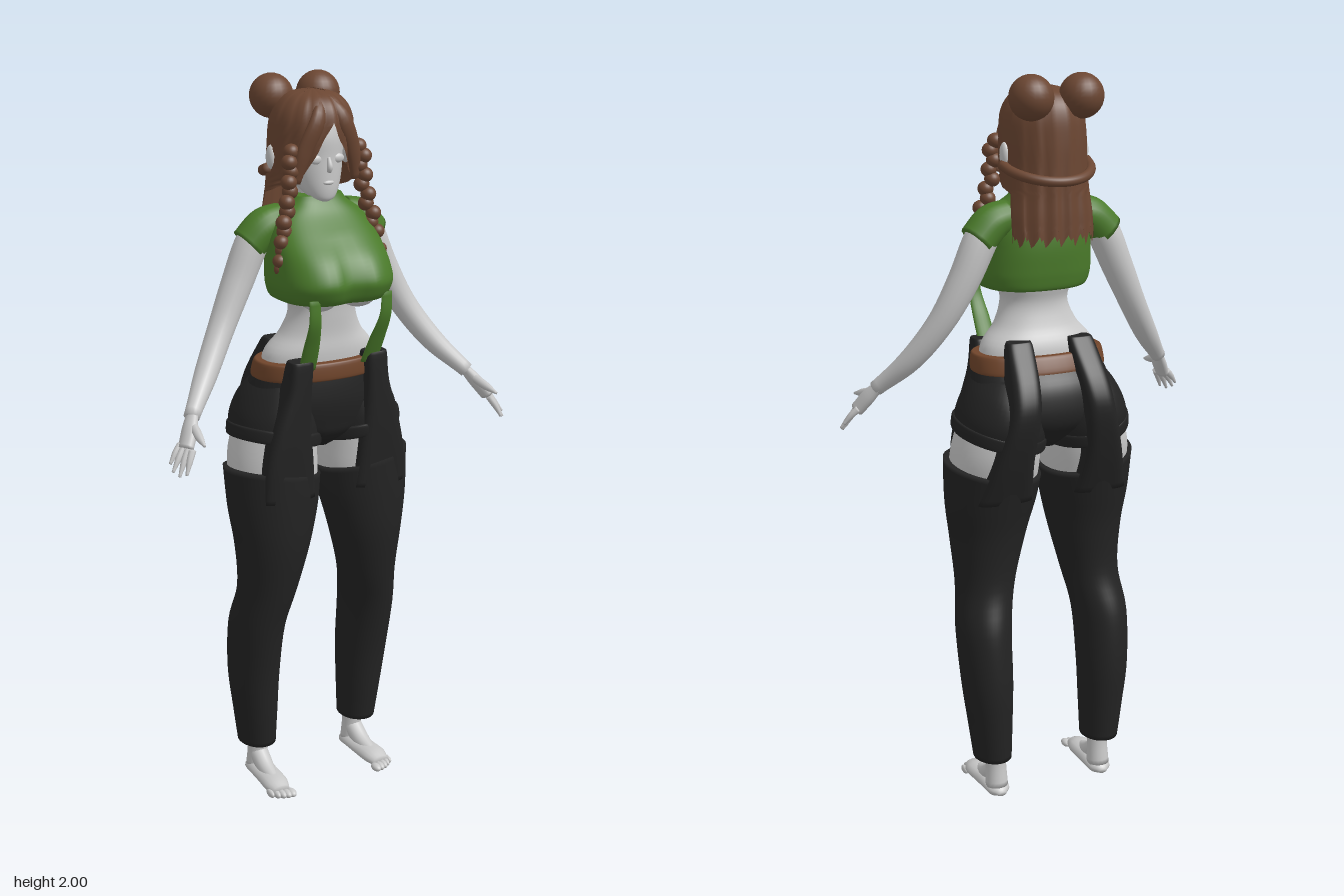
import * as THREE from 'three';
import { mergeVertices } from 'three/addons/utils/BufferGeometryUtils.js';

const paint = (name, color, side = THREE.FrontSide) => {
  const m = new THREE.MeshStandardMaterial({ color, side });
  m.name = name;
  return m;
};

// Skin a list of vertex rings; optional caps close both ends
function grid(rows, capped = true) {
  const n = rows[0].length, pos = [], idx = [];
  rows.forEach(r => r.forEach(p => pos.push(p.x, p.y, p.z)));
  for (let i = 0; i < rows.length - 1; i++) {
    for (let j = 0; j < n - 1; j++) {
      const a = i * n + j, d = a + n;
      idx.push(a, a + 1, d + 1, a, d + 1, d);
    }
  }
  if (capped) {
    [0, rows.length - 1].forEach((r, end) => {
      const c = new THREE.Vector3();
      rows[r].slice(1).forEach(p => c.addScaledVector(p, 1 / (n - 1)));
      const k = pos.length / 3;
      pos.push(c.x, c.y, c.z);
      for (let j = 0; j < n - 1; j++) {
        const a = r * n + j;
        if (end) idx.push(k, a, a + 1); else idx.push(k, a + 1, a);
      }
    });
  }
  let g = new THREE.BufferGeometry();
  g.setAttribute('position', new THREE.Float32BufferAttribute(pos, 3));
  g.setIndex(idx);
  g = mergeVertices(g, 1e-5);
  g.computeVertexNormals();
  return g;
}

// Smooth interpolation through a list of number rows
function sample(list, t) {
  const f = t * (list.length - 1), i = Math.min(Math.floor(f), list.length - 2), u = f - i;
  const at = k => list[Math.max(0, Math.min(list.length - 1, k))];
  return list[i].map((_, c) => {
    const [a, b, d, e] = [at(i - 1)[c], at(i)[c], at(i + 1)[c], at(i + 2)[c]];
    return b + 0.5 * u * (d - a + u * (2 * a - 5 * b + 4 * d - e + u * (3 * (b - d) + e - a)));
  });
}

// Upright loft; sections are [y, centreX, radiusX, frontZ, backZ], bottom to top
function tower(sections, { exp = 2, tilt = null, gap = null, shape = null } = {}) {
  const seg = 48, n = (sections.length - 1) * 5, rows = [];
  const pw = v => Math.sign(v) * Math.abs(v) ** (2 / exp);
  for (let i = 0; i <= n; i++) {
    const [y, cx, rx, zf, zb] = sample(sections, i / n), row = [];
    const g = gap ? gap(y) : 0;
    for (let j = 0; j <= seg; j++) {
      const a = g + (j / seg) * (Math.PI * 2 - 2 * g);
      const dx = rx * pw(Math.sin(a)), dz = (zf - zb) / 2 * pw(Math.cos(a));
      const p = new THREE.Vector3(cx + dx, y, (zf + zb) / 2 + dz);
      if (tilt) p.y += tilt(dx, dz, y);
      if (shape) shape(p, a, j);
      row.push(p);
    }
    rows.push(row);
  }
  return grid(rows, !gap);
}

// Tapered tube; points are [x, y, z, radius], flat scales the cross-section
function limb(points, flat = [1, 1, 1], seg = 16) {
  const curve = new THREE.CatmullRomCurve3(points.map(p => new THREE.Vector3(...p.slice(0, 3))));
  const n = (points.length - 1) * 6, f = curve.computeFrenetFrames(n), rows = [];
  const s = new THREE.Vector3(...flat);
  for (let i = 0; i <= n; i++) {
    const t = curve.getUtoTmapping(i / n), c = curve.getPoint(t), r = sample(points, t)[3];
    rows.push(Array.from({ length: seg + 1 }, (_, j) => {
      const a = (j / seg) * Math.PI * 2;
      return new THREE.Vector3().addScaledVector(f.normals[i], Math.cos(a) * r)
        .addScaledVector(f.binormals[i], Math.sin(a) * r).multiply(s).add(c);
    }));
  }
  return grid(rows);
}

function ball(x, y, z, rx, ry = rx, rz = rx) {
  return new THREE.SphereGeometry(1, 24, 16).scale(rx, ry, rz).translate(x, y, z);
}

function mirrored(g) {
  const m = g.clone().scale(-1, 1, 1), ix = m.index.array;
  for (let i = 0; i < ix.length; i += 3) [ix[i], ix[i + 1]] = [ix[i + 1], ix[i]];
  return m;
}

export function createModel() {
  const model = new THREE.Group();
  const skin = paint('pale skin', 0xc8c8c8);
  const green = paint('green cloth', 0x4a7a2a);
  const black = paint('black cloth', 0x232323);
  const brown = paint('brown hair', 0x6b4632, THREE.DoubleSide);
  const leather = paint('brown leather', 0x70452b);
  const add = (name, g, mat) => {
    const m = new THREE.Mesh(g, mat);
    m.name = name;
    model.add(m);
  };
  const pair = (name, g, mat) => {
    add(name + 'Left', g, mat);
    add(name + 'Right', mirrored(g), mat);
  };

  // Head and face
  add('head', tower([[1.685, 0, .012, .035, .005], [1.695, 0, .034, .042, -.02], [1.72, 0, .054, .046, -.07],
    [1.76, 0, .07, .046, -.11], [1.8, 0, .077, .045, -.13], [1.85, 0, .08, .045, -.14], [1.9, 0, .074, .03, -.13],
    [1.94, 0, .05, 0, -.1]]), skin);
  add('neck', limb([[0, 1.6, -.045, .045], [0, 1.68, -.045, .04], [0, 1.75, -.045, .04]]), skin);
  add('nose', limb([[0, 1.8, .043, .005], [0, 1.775, .05, .008], [0, 1.763, .046, .006]]), skin);
  add('lips', ball(0, 1.735, .044, .016, .006, .007), skin);
  pair('eyelid', ball(.032, 1.795, .036, .018, .012, .008), skin);
  pair('ear', ball(.112, 1.795, -.06, .012, .032, .018), skin);

  // Torso
  add('waist', tower([[1.18, 0, .16, .07, -.11], [1.28, 0, .16, .08, -.105], [1.34, 0, .115, .077, -.08],
    [1.4, 0, .092, .08, -.066], [1.46, 0, .105, .08, -.08], [1.55, 0, .1, .05, -.08]], { exp: 2.2 }), skin);
  pair('underbust', ball(.058, 1.455, .09, .052, .042, .06), skin);

  // Cropped top with cap sleeves and front straps
  add('croppedTop', tower([[1.437, 0, .115, .13, -.08], [1.442, 0, .145, .17, -.098], [1.47, 0, .158, .19, -.105],
    [1.5, 0, .16, .194, -.108], [1.55, 0, .155, .165, -.11], [1.6, 0, .148, .11, -.105], [1.65, 0, .125, .055, -.095],
    [1.68, 0, .085, .032, -.075], [1.7, 0, .07, .022, -.07]], {
    exp: 2.6,
    shape: p => { if (p.z > .1) p.z -= .022 * Math.exp(-((p.x / .035) ** 2)) * (p.z - .1) / .09; }
  }), green);
  pair('sleeve', limb([[.09, 1.635, -.045, .045], [.14, 1.62, -.045, .05], [.188, 1.575, -.05, .049]]), green);
  pair('strap', limb([[.108, 1.46, .16, .016], [.106, 1.4, .158, .018], [.1, 1.33, .128, .024], [.095, 1.26, .095, .026]],
    [1, .3, .3]), green);

  // Arms and hands
  pair('arm', limb([[.14, 1.63, -.045, .04], [.175, 1.58, -.05, .045], [.222, 1.48, -.048, .042],
    [.28, 1.37, -.03, .036], [.35, 1.265, .015, .031], [.425, 1.18, .08, .021]]), skin);
  pair('palm', limb([[.42, 1.186, .075, .02], [.44, 1.155, .1, .026], [.465, 1.115, .125, .025]], [.65, .65, 1.2]), skin);
  [[.506, 1.08, .118], [.508, 1.064, .138], [.498, 1.055, .155], [.484, 1.06, .168]].forEach((tip, k) => {
    const base = [.468 - .004 * k, 1.122 - .002 * k, .104 + .014 * k];
    const mid = base.map((b, i) => (b + tip[i]) / 2 + (i === 1 ? .003 : 0));
    pair('finger' + (k + 1), limb([[...base, .01], [...mid, .0085], [...tip, .004]], undefined, 8), skin);
  });
  pair('thumb', limb([[.432, 1.165, .105, .012], [.44, 1.15, .155, .011], [.446, 1.14, .195, .004]], undefined, 8), skin);

  // Bare thighs, ankles and feet
  pair('thigh', tower([[.8, .14, .1, .09, -.11], [.93, .135, .12, .098, -.145], [1.02, .13, .118, .097, -.165],
    [1.14, .11, .1, .08, -.16]]), skin);
  pair('ankle', limb([[.16, .03, -.09, .032], [.16, .1, -.085, .029], [.165, .2, -.08, .036]]), skin);
  pair('instep', limb([[.16, .075, -.085, .027], [.162, .042, -.035, .025], [.164, .026, .02, .018]]), skin);
  pair('foot', limb([[.158, .016, -.128, .012], [.159, .02, -.11, .03], [.16, .026, -.075, .036],
    [.162, .024, -.02, .036], [.165, .022, .035, .036], [.166, .016, .07, .026]], [1, .6, .85]), skin);
  for (let k = 0; k < 5; k++) {
    pair('toe' + (k + 1), ball(.142 + k * .0135, .012, .083 - k * k * .0016, .0125 - k * .0012, .011, .02), skin);
  }

  // Shorts
  add('shorts', tower([[1.015, 0, .03, .02, -.1], [1.06, 0, .12, .075, -.15], [1.1, 0, .195, .09, -.175],
    [1.15, 0, .202, .1, -.175], [1.2, 0, .19, .1, -.16], [1.25, 0, .172, .095, -.12]], { exp: 2.2 }), black);
  const hemTilt = (x, z) => x * .18 + z * .1;
  pair('shortLeg', tower([[1.045, .125, .118, .106, -.178], [1.1, .118, .115, .104, -.192],
    [1.16, .105, .1, .09, -.18], [1.21, .09, .08, .07, -.14]], { tilt: hemTilt }), black);
  pair('shortCuff', tower([[1.04, .125, .117, .104, -.178], [1.045, .125, .123, .111, -.184],
    [1.072, .122, .123, .111, -.188], [1.077, .122, .117, .105, -.184]], { tilt: hemTilt }), black);

  // Belt
  add('belt', tower([[1.222, 0, .18, .092, -.13], [1.226, 0, .188, .103, -.142], [1.265, 0, .184, .101, -.125],
    [1.27, 0, .174, .09, -.115]], { exp: 2.2 }), leather);

  // Trouser legs, held up by front and back panels
  pair('trouserLeg', tower([[.12, .167, .052, -.013, -.142], [.22, .172, .06, 0, -.15], [.35, .178, .07, .016, -.156],
    [.5, .178, .075, .046, -.142], [.62, .16, .081, .075, -.108], [.75, .148, .103, .1, -.115],
    [.86, .142, .124, .108, -.138], [.96, .138, .132, .11, -.16]], {
    tilt: (x, z, y) => THREE.MathUtils.smoothstep(y, .8, .96) * (x * .16 + z * .1)
  }), black);
  pair('frontPanel', tower([[.9, .14, .08, .1, .02], [1, .142, .072, .108, .03], [1.1, .135, .055, .114, .03],
    [1.2, .12, .037, .117, .04], [1.278, .113, .033, .118, .06], [1.285, .113, .028, .112, .07]], { exp: 3.5 }), black);
  pair('backPanel', tower([[.88, .14, .08, -.05, -.14], [1, .13, .06, -.06, -.182], [1.12, .11, .046, -.08, -.208],
    [1.2, .1, .042, -.08, -.188], [1.29, .09, .037, -.07, -.125], [1.31, .088, .032, -.07, -.11]], { exp: 3.5 }), black);

  // Hair: a shell parted over the face, longer at the back
  const { mapLinear } = THREE.MathUtils;
  const gap = y => y > 1.89 ? 0 : y > 1.75 ? mapLinear(y, 1.89, 1.75, 0, .68)
    : y > 1.7 ? mapLinear(y, 1.75, 1.7, .68, 1.75) : 1.8;
  add('hair', tower([[1.575, 0, .12, -.01, -.178], [1.64, 0, .12, .01, -.176], [1.7, 0, .116, .04, -.172],
    [1.76, 0, .113, .058, -.17], [1.83, 0, .112, .064, -.168], [1.89, 0, .106, .066, -.162], [1.93, 0, .088, .052, -.145],
    [1.955, 0, .058, .02, -.11], [1.967, 0, .004, -.035, -.043]], {
    gap,
    shape: (p, a, j) => {
      p.x *= 1 + .018 * Math.cos(a * 16);
      p.z += .004 * Math.cos(a * 16);
      if (p.y < 1.6) p.y += [0, .012, .022, .008, .015, -.008][j % 6];
    }
  }), brown);
  pair('hairLock', limb([[.012, 1.945, .02, .012], [.035, 1.9, .052, .022], [.07, 1.82, .044, .022],
    [.09, 1.74, .03, .014]], [1, 1, .6]), brown);
  pair('bun', ball(.07, 1.942, -.132, .058), brown);

  // Front braids and the braid wrapped around the back
  const braid = new THREE.CatmullRomCurve3([[.105, 1.82, .03], [.112, 1.72, .035], [.135, 1.62, .045], [.15, 1.525, .052]]
    .map(p => new THREE.Vector3(...p)));
  for (let i = 0; i < 13; i++) {
    const p = braid.getPoint(i / 12), s = i % 2 ? 1 : -1, r = .021 - .008 * Math.max(0, i / 12 - .6);
    pair('braidStrand' + (i + 1), ball(p.x + s * .005, p.y, p.z + s * .004, r, r * .95, r), brown);
  }
  const wrap = Array.from({ length: 9 }, (_, i) => {
    const a = Math.PI * (.5 + i / 8);
    return [.12 * Math.sin(a), 1.77 + .035 * Math.cos(a), -.06 + .12 * Math.cos(a), .013];
  });
  add('backBraid', limb(wrap), brown);

  return model;
}
